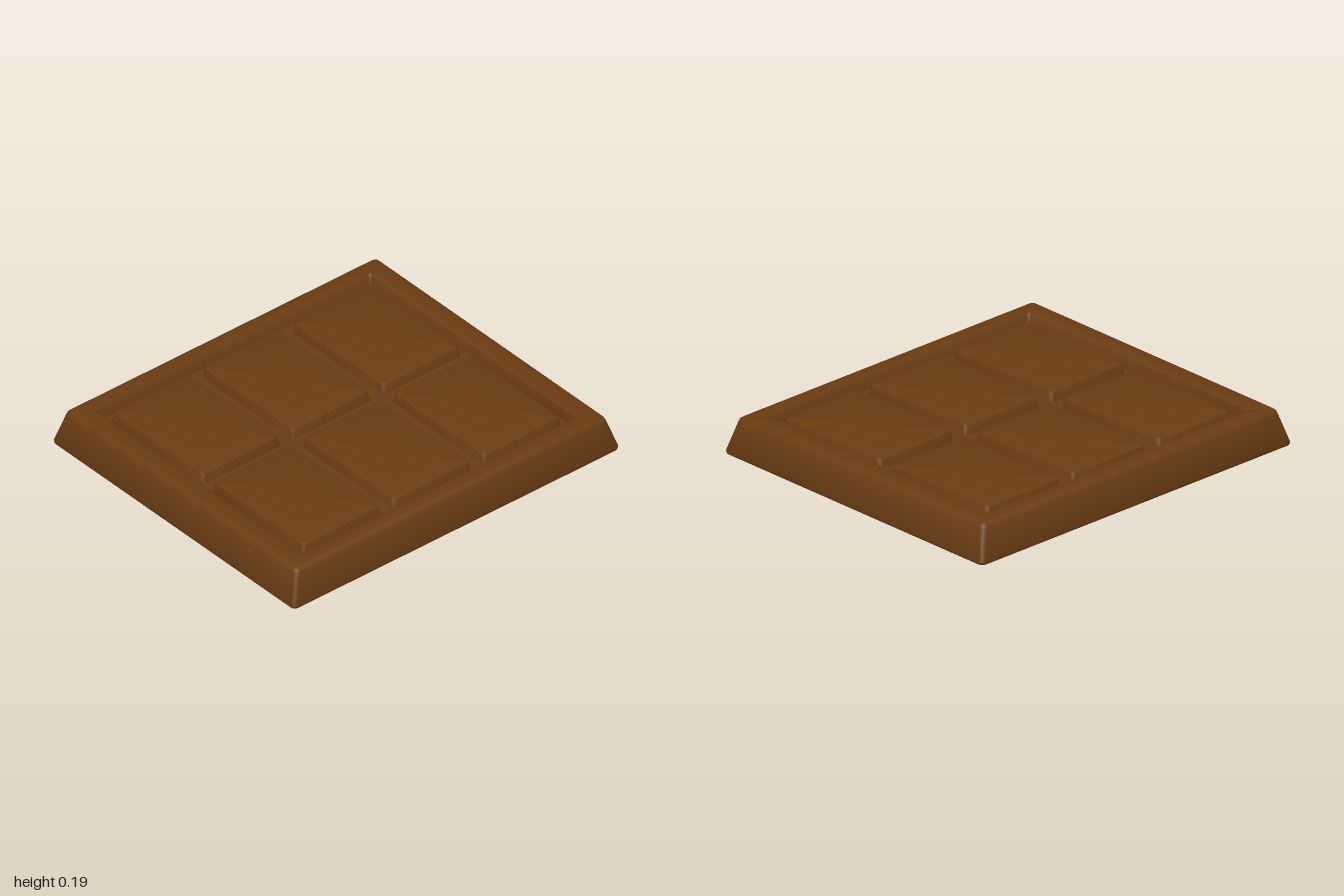
import * as THREE from 'three';
import { toCreasedNormals } from 'three/addons/utils/BufferGeometryUtils.js';

const CORNER_STEPS = 4;

// Rounded rectangle in the xz plane at height y
function ring([hx, hz, y, r]) {
  const pts = [];
  [[1, 1], [-1, 1], [-1, -1], [1, -1]].forEach(([sx, sz], q) => {
    for (let i = 0; i <= CORNER_STEPS; i++) {
      const a = (q + i / CORNER_STEPS) * Math.PI / 2;
      pts.push([sx * (hx - r) + r * Math.cos(a), y, sz * (hz - r) + r * Math.sin(a)]);
    }
  });
  return pts;
}

// Skin a stack of rounded rectangles and close both ends
function loft(sections) {
  const rings = sections.map(ring);
  const n = rings[0].length;
  const pos = [];
  const tri = (a, b, c) => pos.push(...a, ...b, ...c);
  for (let k = 0; k < rings.length - 1; k++) {
    for (let i = 0; i < n; i++) {
      const j = (i + 1) % n;
      const lo = rings[k], hi = rings[k + 1];
      tri(lo[i], hi[i], lo[j]);
      tri(lo[j], hi[i], hi[j]);
    }
  }
  const first = rings[0], last = rings[rings.length - 1];
  for (let i = 0; i < n; i++) {
    const j = (i + 1) % n;
    tri([0, first[0][1], 0], first[i], first[j]);
    tri([0, last[0][1], 0], last[j], last[i]);
  }
  const geo = new THREE.BufferGeometry();
  geo.setAttribute('position', new THREE.Float32BufferAttribute(pos, 3));
  return toCreasedNormals(geo, 0.6);
}

export function createModel() {
  const group = new THREE.Group();
  group.name = 'chocolateBar';
  const chocolate = new THREE.MeshStandardMaterial({ color: 0x6b3d12 });

  // Tray: underside, sloping outer wall, flat rim, recess wall and floor
  const tray = new THREE.Mesh(loft([
    [0.865, 0.985, 0, 0.02],
    [0.877, 0.997, 0.005, 0.025],
    [0.88, 1.0, 0.018, 0.025],
    [0.842, 0.956, 0.165, 0.025],
    [0.836, 0.949, 0.179, 0.022],
    [0.826, 0.94, 0.187, 0.018],
    [0.815, 0.93, 0.19, 0.012],
    [0.755, 0.85, 0.19, 0.015],
    [0.749, 0.844, 0.187, 0.014],
    [0.745, 0.84, 0.18, 0.013],
    [0.735, 0.83, 0.13, 0.01],
  ]), chocolate);
  tray.name = 'tray';
  group.add(tray);

  // Six raised squares with softened edges
  const squareGeo = loft([
    [0.337, 0.246, 0.12, 0.022],
    [0.333, 0.242, 0.135, 0.022],
    [0.326, 0.235, 0.172, 0.02],
    [0.322, 0.231, 0.18, 0.018],
    [0.314, 0.223, 0.183, 0.014],
  ]);
  for (const x of [-0.366, 0.366]) {
    for (const z of [-0.555, -0.003, 0.55]) {
      const square = new THREE.Mesh(squareGeo, chocolate);
      square.name = 'square';
      square.position.set(x, 0, z);
      group.add(square);
    }
  }
  return group;
}
